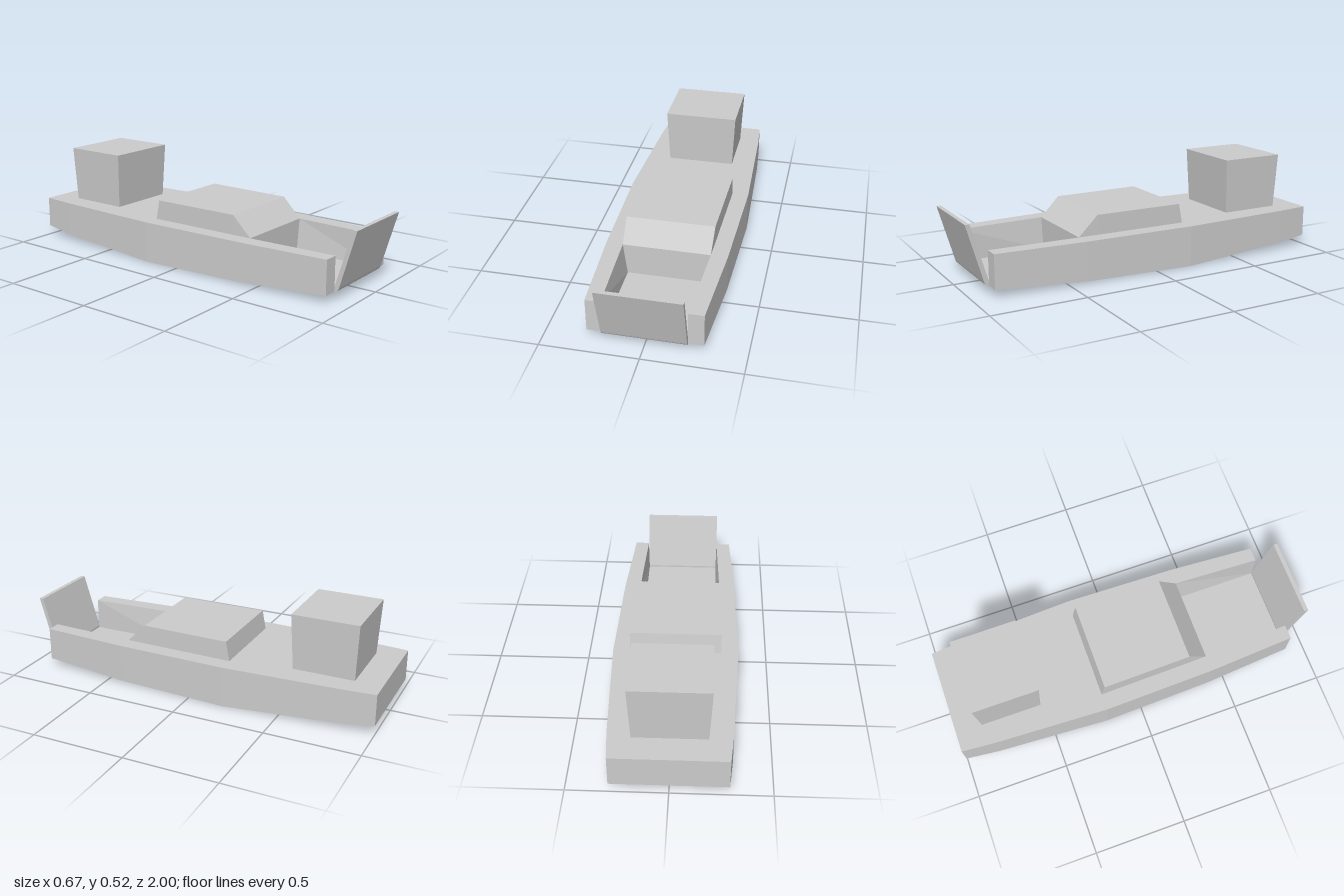
import * as THREE from 'three';

const DECK = 0.22, FLOOR = 0.045, BOW = 0.89, BULKHEAD = 0.41;

// Skin between cross-sections { z, pts } given in rising z, points anticlockwise seen from +z.
// The caps are outlines closing the two ends; leave one out to keep that end open.
function loft(sections, backCap, frontCap) {
  const pos = [];
  const put = (p, z) => pos.push(p[0], p[1], z);
  for (let k = 0; k < sections.length - 1; k++) {
    const s = sections[k], t = sections[k + 1], n = s.pts.length;
    for (let i = 0; i < n; i++) {
      const j = (i + 1) % n;
      put(s.pts[i], s.z); put(s.pts[j], s.z); put(t.pts[j], t.z);
      put(s.pts[i], s.z); put(t.pts[j], t.z); put(t.pts[i], t.z);
    }
  }
  const cap = (pts, z, flip) => {
    const contour = pts.map(p => new THREE.Vector2(p[0], p[1]));
    for (const f of THREE.ShapeUtils.triangulateShape(contour, [])) {
      for (const i of flip ? [f[0], f[2], f[1]] : f) put(pts[i], z);
    }
  };
  if (backCap) cap(backCap, sections[0].z, true);
  if (frontCap) cap(frontCap, sections[sections.length - 1].z, false);
  const g = new THREE.BufferGeometry();
  g.setAttribute('position', new THREE.Float32BufferAttribute(pos, 3));
  g.computeVertexNormals();
  return g;
}

const rect = (w, y0, y1) => [[-w, y0], [w, y0], [w, y1], [-w, y1]];

// U-shaped section of the open well: half width, keel height, half opening at deck level
const well = (w, keel, open) => [
  [-w, keel], [w, keel], [w, DECK], [open, DECK],
  [0.21, FLOOR], [-0.21, FLOOR], [-open, DECK], [-w, DECK],
];

export function createModel() {
  const model = new THREE.Group();
  const material = new THREE.MeshStandardMaterial({ color: 0xcccccc, flatShading: true });
  const add = (name, geometry) => {
    const mesh = new THREE.Mesh(geometry, material);
    mesh.name = name;
    model.add(mesh);
    return mesh;
  };

  // Decked hull behind the well: z, half width, keel height
  const stations = [
    [-1, 0.29, 0.052], [-0.82, 0.305, 0.033], [-0.2, 0.333, 0], [BULKHEAD, 0.319, 0.012],
  ];
  const aft = stations.map(([z, w, keel]) => ({ z, pts: rect(w, keel, DECK) }));
  const bulkhead = [[-0.21, FLOOR], [0.21, FLOOR], [0.231, DECK], [-0.231, DECK]];
  add('aftHull', loft(aft, aft[0].pts, bulkhead));

  // Forward hull with the open cargo well
  const bow = well(0.29, 0.04, 0.212);
  add('cargoWell', loft([
    { z: BULKHEAD, pts: well(0.319, 0.012, 0.231) },
    { z: BOW, pts: bow },
  ], null, bow));

  // Low cover with a sloping front: z, half width, top height
  const cover = [
    [-0.2, 0.243, DECK], [-0.18, 0.243, 0.325], [0.305, 0.234, 0.325], [BULKHEAD, 0.231, DECK],
  ];
  add('engineCover', loft(cover.map(([z, w, top]) => ({ z, pts: rect(w, DECK, top) }))));

  // Wheelhouse, slightly narrower at its foot
  const house = new THREE.BoxGeometry(0.402, 0.3, 0.355);
  const p = house.attributes.position;
  for (let i = 0; i < p.count; i++) {
    if (p.getY(i) < 0) {
      p.setX(i, p.getX(i) * 0.93);
      p.setZ(i, p.getZ(i) * 0.925);
    }
  }
  house.computeVertexNormals();
  add('wheelhouse', house).position.set(0, DECK + 0.15, -0.6925);

  // Bow ramp leaning forward, with a rounded foot
  const side = new THREE.Shape();
  side.moveTo(0.888, 0.04);
  side.lineTo(0.895, 0.04);
  side.quadraticCurveTo(0.91, 0.042, 0.915, 0.062);
  side.lineTo(1, 0.36);
  side.lineTo(0.977, 0.36);
  side.lineTo(0.888, 0.055);
  side.closePath();
  const ramp = new THREE.ExtrudeGeometry(side, { depth: 0.424, bevelEnabled: false, curveSegments: 4 });
  ramp.rotateY(-Math.PI / 2).translate(0.212, 0, 0);
  add('bowRamp', ramp);

  return model;
}
